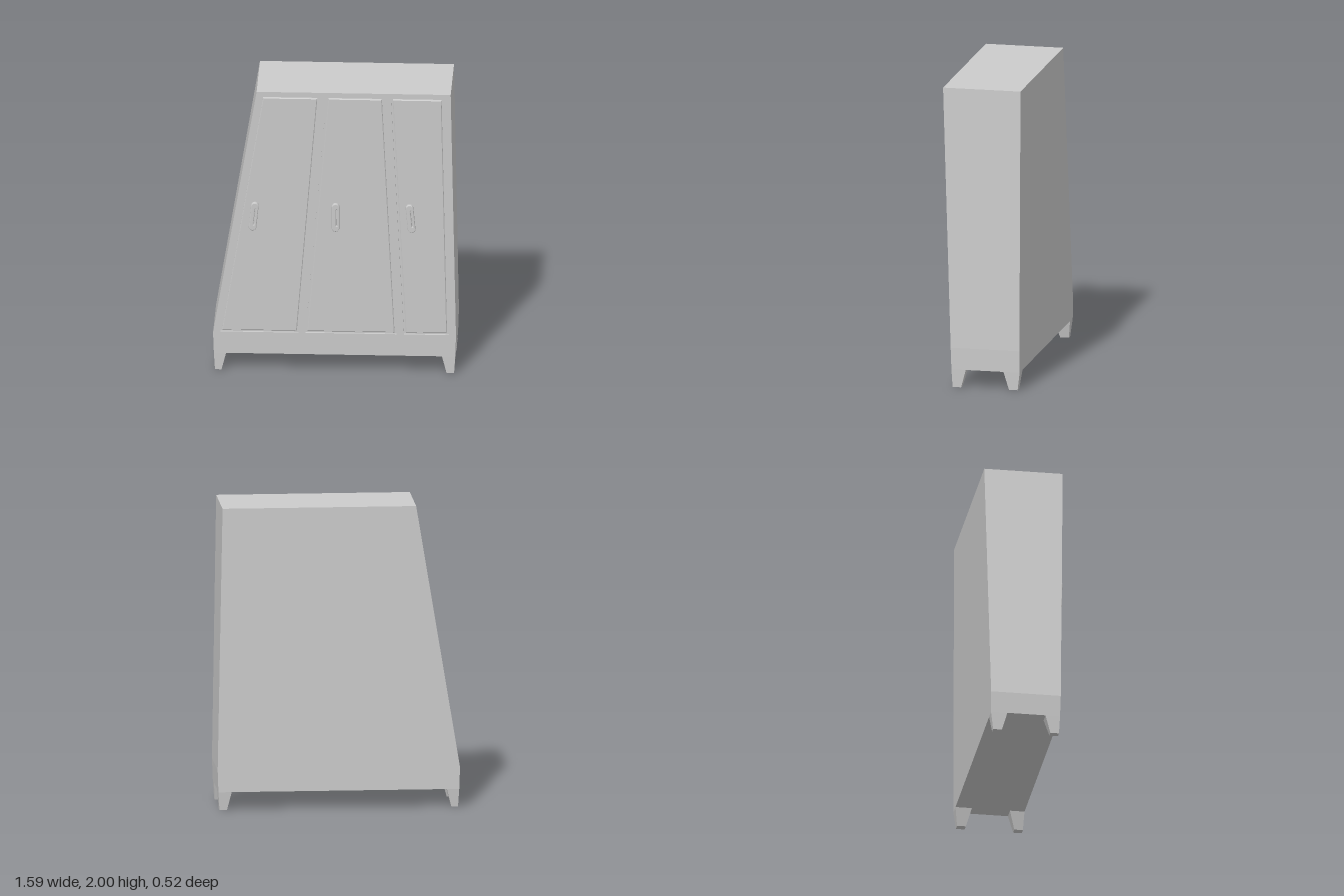
import * as THREE from 'three';

const material = new THREE.MeshStandardMaterial({ color: 0xcccccc, flatShading: true });
const smooth = new THREE.MeshStandardMaterial({ color: 0xcccccc });
const BEND = 0.265, DEPTH = 0.014, BACK = -0.26;

// z of the leaning front at height y
const frontZ = y => 0.2 + (y - BEND) / (2 - BEND) * 0.058;

function add(parent, name, geometry, mat = material) {
  const mesh = new THREE.Mesh(geometry, mat);
  mesh.name = name;
  parent.add(mesh);
  return mesh;
}

// Closed loft through horizontal rectangles [y, x0, x1, zBack, zFront], bottom to top
function loft(rings) {
  const pos = [], idx = [];
  for (const [y, x0, x1, z0, z1] of rings) pos.push(x0, y, z1, x1, y, z1, x1, y, z0, x0, y, z0);
  for (let r = 0; r < rings.length - 1; r++) {
    for (let i = 0; i < 4; i++) {
      const a = r * 4 + i, b = r * 4 + (i + 1) % 4;
      idx.push(a, b, b + 4, a, b + 4, a + 4);
    }
  }
  const t = (rings.length - 1) * 4;
  idx.push(0, 2, 1, 0, 3, 2, t, t + 1, t + 2, t, t + 2, t + 3);
  const g = new THREE.BufferGeometry();
  g.setAttribute('position', new THREE.Float32BufferAttribute(pos, 3));
  g.setIndex(idx);
  const flat = g.toNonIndexed();
  flat.computeVertexNormals();
  return flat;
}

// Quad given by bottom and top edges, optionally shrunk by g
const quad = ([bl, br, tl, tr, y0, y1], g = 0) => [
  [bl + g, y0 + g], [br - g, y0 + g], [tr - g, y1 - g], [tl + g, y1 - g],
].map(p => new THREE.Vector2(...p));

// Lean a flat extrusion so that its z = 0 lies on the front
function lean(g) {
  const p = g.attributes.position;
  for (let i = 0; i < p.count; i++) p.setZ(i, p.getZ(i) + frontZ(p.getY(i)));
  g.computeVertexNormals();
  return g;
}

function slot(path, cx, halfWidth, halfHeight) {
  const s = halfHeight - halfWidth;
  path.moveTo(cx + halfWidth, -s);
  path.lineTo(cx + halfWidth, s);
  path.absarc(cx, s, halfWidth, 0, Math.PI, false);
  path.lineTo(cx - halfWidth, -s);
  path.absarc(cx, -s, halfWidth, Math.PI, Math.PI * 2, false);
  return path;
}

export function createModel() {
  const group = new THREE.Group();
  group.name = 'wardrobe';

  // Carcass: plinth band below, recessed front above it
  add(group, 'carcass', loft([
    [0.12, -0.792, 0.785, BACK, 0.196],
    [BEND, -0.797, 0.79, BACK, frontZ(BEND)],
    [BEND, -0.797, 0.79, BACK, frontZ(BEND) - DEPTH],
    [2, -0.51, 0.758, BACK, frontZ(2) - DEPTH],
  ]));

  // Front frame with three door openings
  const doors = [
    [-0.75, -0.238, -0.48, -0.102, 0.273, 1.97],
    [-0.193, 0.4, -0.053, 0.32, 0.273, 1.97],
    [0.45, 0.743, 0.367, 0.71, 0.273, 1.97],
  ];
  const frame = new THREE.Shape(quad([-0.797, 0.79, -0.51, 0.758, BEND, 2]));
  for (const d of doors) frame.holes.push(new THREE.Path(quad(d).reverse()));
  const frameGeo = new THREE.ExtrudeGeometry(frame, { depth: DEPTH, bevelEnabled: false });
  add(group, 'frontFrame', lean(frameGeo.translate(0, 0, -DEPTH)));

  // Door panels, separated from the frame by a groove
  const bevel = 0.005;
  for (const d of doors) {
    const g = new THREE.ExtrudeGeometry(new THREE.Shape(quad(d, 0.012)), {
      depth: DEPTH, bevelThickness: bevel, bevelSize: bevel, bevelOffset: -bevel, bevelSegments: 1,
    });
    add(group, 'door', lean(g.translate(0, 0, -DEPTH - bevel)));
  }

  // Slotted pull handles, tilted with their doors
  for (const [x, tilt] of [[-0.53, -0.1], [0.005, 0], [0.495, 0.09]]) {
    const shape = slot(new THREE.Shape(), 0, 0.019, 0.094);
    shape.holes.push(slot(new THREE.Path(), 0.007, 0.009, 0.064));
    const g = new THREE.ExtrudeGeometry(shape, {
      depth: 0.014, bevelThickness: 0.006, bevelSize: 0.006, bevelSegments: 3, curveSegments: 10,
    });
    const handle = add(group, 'handle', g, smooth);
    handle.position.set(x, 1.11, frontZ(1.11));
    handle.rotation.set(0.033, 0, tilt);
  }

  // Tapered feet
  const xs = [[-0.785, -0.742, -0.792, -0.712], [0.728, 0.777, 0.698, 0.785]];
  const zs = [[-0.245, -0.187, BACK, -0.152], [0.133, 0.19, 0.1, 0.196]];
  for (const [x0, x1, X0, X1] of xs) {
    for (const [z0, z1, Z0, Z1] of zs) {
      add(group, 'foot', loft([[0, x0, x1, z0, z1], [0.12, X0, X1, Z0, Z1]]));
    }
  }
  return group;
}
